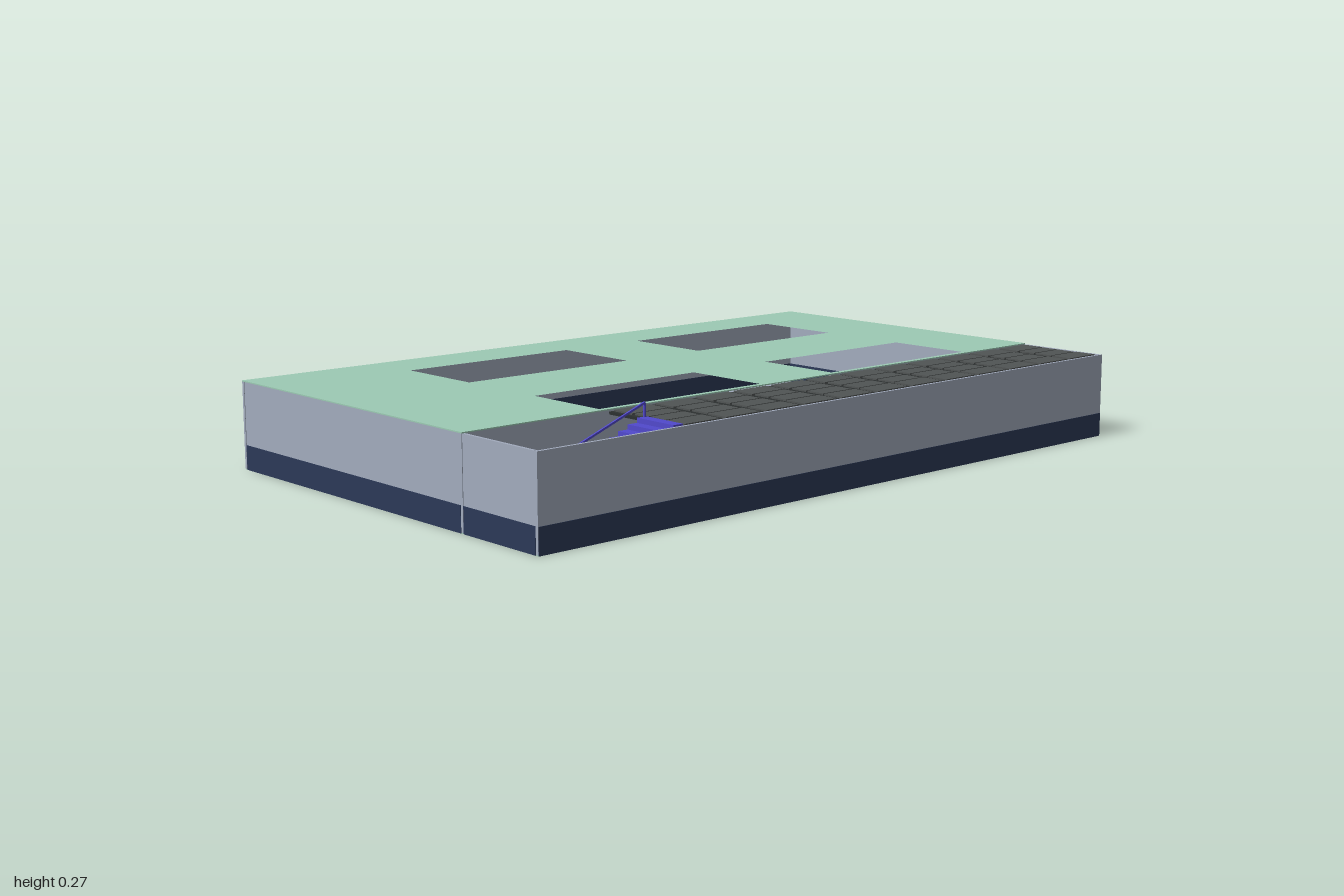
import * as THREE from 'three';

const mat = (name, color, side = THREE.FrontSide) => {
  const m = new THREE.MeshStandardMaterial({ color, side });
  m.name = name;
  return m;
};

export function createModel() {
  const grey = mat('wall grey', 0xa2abbd);
  const navy = mat('navy band', 0x2c3957);
  const green = mat('roof green', 0x9ccab4);
  const blue = mat('stair blue', 0x5149cc);
  const panelMat = mat('panel grey', 0x505454);
  const frameMat = mat('frame dark grey', 0x2c3030);
  const model = new THREE.Group();
  model.name = 'hall';

  const H = 0.23, BAND = 0.065, T = 0.01, SKIN = 0.001;

  const group = (name, parent = model) => {
    const g = new THREE.Group();
    g.name = name;
    parent.add(g);
    return g;
  };
  // box given by its minimum and maximum on each axis
  const box = (name, m, x0, x1, y0, y1, z0, z1, parent = model) => {
    const mesh = new THREE.Mesh(new THREE.BoxGeometry(x1 - x0, y1 - y0, z1 - z0), m);
    mesh.position.set((x0 + x1) / 2, (y0 + y1) / 2, (z0 + z1) / 2);
    mesh.name = name;
    parent.add(mesh);
    return mesh;
  };

  // walls: grey core with a thin navy band on both faces
  const wallX = (name, x0, x1, z) => {
    const g = group(name);
    box('wallCore', grey, x0, x1, 0.002, H, z + SKIN, z + T - SKIN, g);
    for (const zz of [z, z + T - SKIN]) box('wallBand', navy, x0, x1, 0, BAND, zz, zz + SKIN, g);
  };
  const wallZ = (name, x, z0, z1) => {
    const g = group(name);
    box('wallCore', grey, x + SKIN, x + T - SKIN, 0.002, H, z0, z1, g);
    for (const xx of [x, x + T - SKIN]) box('wallBand', navy, xx, xx + SKIN, 0, BAND, z0 + SKIN, z1 - SKIN, g);
  };
  for (const [side, z] of [['front', 1 - T], ['back', -1]]) {
    wallX(side + 'HallWall', -0.6, 0.33, z);
    wallX(side + 'CorridorWall', 0.34, 0.6, z);
  }
  wallZ('rightWall', -0.61, -1, 1);
  wallZ('leftWall', 0.6, -1, 1);
  // partition with a wide doorway
  wallZ('partitionBack', 0.33, -1, -0.19);
  wallZ('partitionFront', 0.33, 0.18, 1);

  // ground slab and floor
  box('baseSlab', green, -0.609, 0.609, 0, 0.003, -0.999, 0.999);
  box('floor', grey, -0.6, 0.6, 0.003, 0.006, -0.99, 0.99);

  // roof with four skylight openings
  const rect = (path, x0, x1, z0, z1) => {
    path.moveTo(x0, -z0).lineTo(x1, -z0).lineTo(x1, -z1).lineTo(x0, -z1).closePath();
    return path;
  };
  const roofShape = rect(new THREE.Shape(), -0.61, 0.34, -1, 1);
  for (const [x0, x1] of [[-0.45, -0.19], [0.08, 0.325]])
    for (const [z0, z1] of [[-0.735, -0.205], [0.06, 0.59]])
      roofShape.holes.push(rect(new THREE.Path(), x0, x1, z0, z1));
  const roofGeo = new THREE.ExtrudeGeometry(roofShape, { depth: 0.003, bevelEnabled: false });
  roofGeo.rotateX(-Math.PI / 2);
  const roof = new THREE.Mesh(roofGeo, green);
  roof.position.y = H;
  roof.name = 'roof';
  model.add(roof);

  // corridor ceiling: a row of framed panels
  const ceiling = group('corridorCeiling');
  const N = 12, Z0 = -0.995, PITCH = (0.572 - Z0) / N;
  box('ceilingFrame', frameMat, 0.341, 0.6, 0.22, 0.227, Z0, 0.572, ceiling);
  for (let i = 0; i < N; i++) {
    const a = Z0 + i * PITCH + 0.01, b = a + PITCH - 0.02;
    for (const [x0, x1, inset] of [[0.348, 0.412, 0], [0.418, 0.466, 0.004], [0.472, 0.526, 0.004], [0.532, 0.594, 0]])
      box('ceilingPanel', panelMat, x0, x1, 0.226, 0.231, a + inset, b - inset, ceiling);
  }

  // two-flight staircase turning on a landing
  const stairs = group('staircase');
  const LAND = 0.115, ZA = 0.86, ZB = 0.572, STEPS = 10;
  box('landing', blue, 0.341, 0.6, LAND - 0.012, LAND, ZA, 0.99, stairs);
  const flight = (name, x0, x1, yLow, zLow, yHigh, zHigh) => {
    const s = new THREE.Shape();
    const dy = (yHigh - yLow) / STEPS, dz = (zHigh - zLow) / STEPS;
    s.moveTo(zLow, yLow);
    for (let i = 0; i < STEPS; i++) {
      s.lineTo(zLow + i * dz, yLow + (i + 1) * dy);
      s.lineTo(zLow + (i + 1) * dz, yLow + (i + 1) * dy);
    }
    s.lineTo(zHigh, yHigh - 0.015);
    s.lineTo(zLow + dz, yLow);
    s.closePath();
    const geo = new THREE.ExtrudeGeometry(s, { depth: x1 - x0, bevelEnabled: false });
    geo.rotateY(-Math.PI / 2); // profile z,y with width along x
    const mesh = new THREE.Mesh(geo, blue);
    mesh.position.x = x1;
    mesh.name = name;
    stairs.add(mesh);
  };
  flight('lowerFlight', 0.341, 0.468, 0.006, ZB, LAND, ZA);
  flight('upperFlight', 0.474, 0.6, LAND, ZA, 0.234, ZB);

  // handrails with end posts
  const rail = (x, zA, yA, zB, yB, postA, postB) => {
    const len = Math.hypot(zB - zA, yB - yA);
    const bar = new THREE.Mesh(new THREE.BoxGeometry(0.005, 0.005, len), blue);
    bar.position.set(x, (yA + yB) / 2, (zA + zB) / 2);
    bar.rotation.x = Math.atan2(yB - yA, zA - zB);
    bar.name = 'handrail';
    stairs.add(bar);
    box('railPost', blue, x - 0.0025, x + 0.0025, postA, yA, zA - 0.003, zA + 0.003, stairs);
    box('railPost', blue, x - 0.0025, x + 0.0025, postB, yB, zB - 0.003, zB + 0.003, stairs);
  };
  rail(0.479, 0.86, 0.165, 0.582, 0.268, LAND, 0.228);
  rail(0.464, 0.86, 0.165, 0.582, 0.05, LAND, 0.006);

  return model;
}
